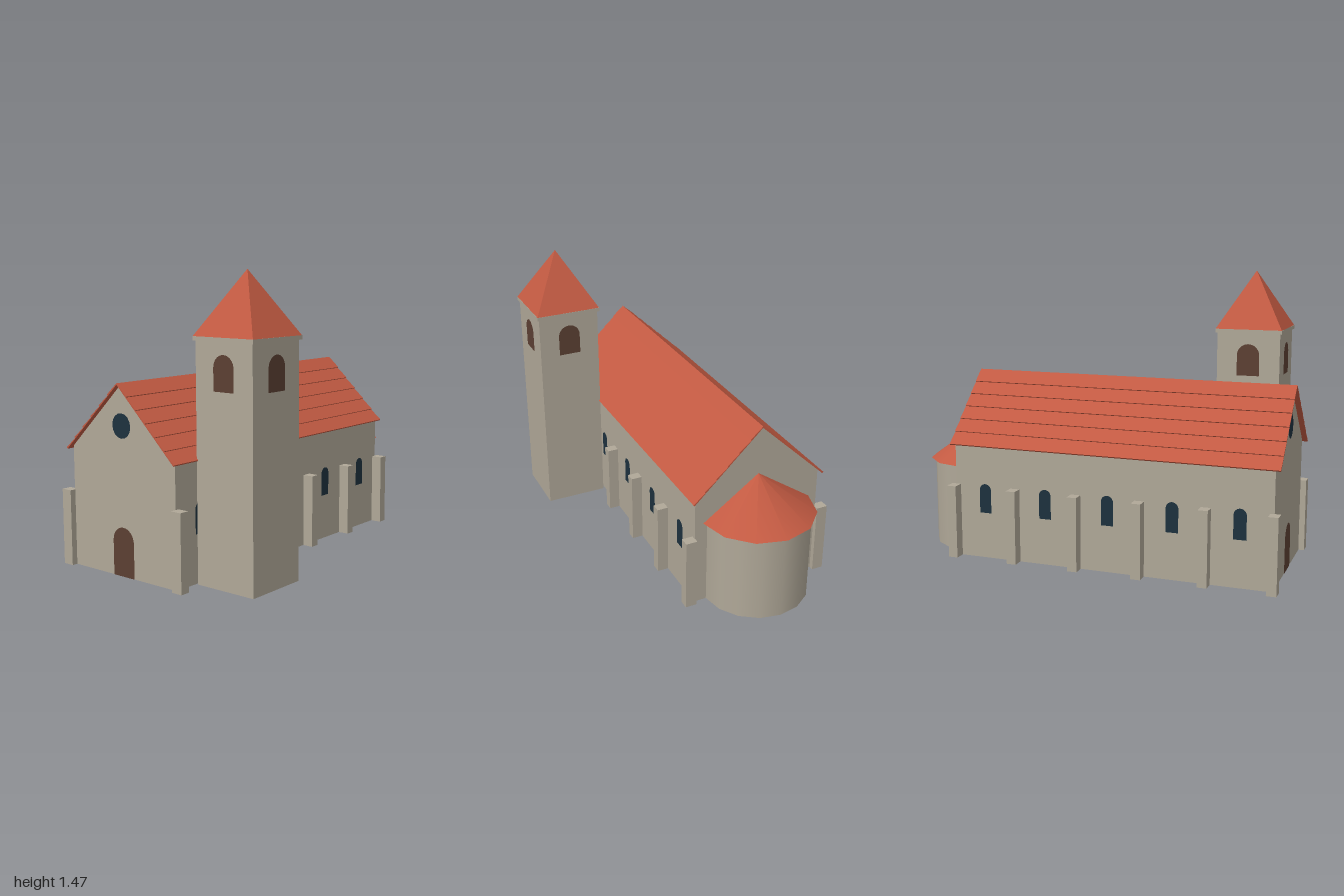
import * as THREE from 'three';

const stone = new THREE.MeshStandardMaterial({ color: 0xb0a898, side: THREE.DoubleSide });
stone.name = 'stone';
const tile = new THREE.MeshStandardMaterial({ color: 0xc25a42 });
tile.name = 'roofTile';
const wood = new THREE.MeshStandardMaterial({ color: 0x5c4033 });
wood.name = 'darkWood';
const glass = new THREE.MeshStandardMaterial({ color: 0x1d313e });
glass.name = 'darkGlass';

const NAVE_X = -0.15, NAVE_HALF = 0.345, FRONT = 0.97, BACK = -0.70;
const RIDGE = 0.933, SLOPE = 0.955;
const TOWER_X = 0.375, TOWER_Z = 0.67, TOWER_HALF = 0.168;
const PROUD = 0.002; // how far painted details stand off their wall

function add(parent, name, geometry, material, x = 0, y = 0, z = 0, turn = 0) {
  const mesh = new THREE.Mesh(geometry, material);
  mesh.name = name;
  mesh.position.set(x, y, z);
  mesh.rotation.y = turn;
  parent.add(mesh);
  return mesh;
}

// Hollow shell: drops the faces lying on the ground side
function openBase(geometry) {
  const g = geometry.index ? geometry.toNonIndexed() : geometry;
  g.clearGroups();
  g.computeBoundingBox();
  const p = g.attributes.position, floor = g.boundingBox.min.y + 1e-5;
  const keep = [];
  for (let i = 0; i < p.count; i += 3) {
    if (Math.max(p.getY(i), p.getY(i + 1), p.getY(i + 2)) > floor) keep.push(i, i + 1, i + 2);
  }
  g.setIndex(keep);
  return g;
}

function shell(parent, name, w, h, d, x, z) {
  return add(parent, name, openBase(new THREE.BoxGeometry(w, h, d)), stone, x, h / 2, z);
}

function extrude(shape, depth) {
  return new THREE.ExtrudeGeometry(shape, { depth, bevelEnabled: false });
}

// Flat round-headed opening standing on y = 0
function archFace(w, h) {
  const r = w / 2;
  const s = new THREE.Shape();
  s.moveTo(-r, 0);
  s.lineTo(r, 0);
  s.lineTo(r, h - r);
  s.absarc(0, h - r, r, 0, Math.PI, false);
  s.closePath();
  return new THREE.ShapeGeometry(s, 8);
}

// Gabled body, open underneath
function naveWalls() {
  const eave = RIDGE - SLOPE * NAVE_HALF;
  const s = new THREE.Shape([
    new THREE.Vector2(-NAVE_HALF, 0), new THREE.Vector2(NAVE_HALF, 0),
    new THREE.Vector2(NAVE_HALF, eave), new THREE.Vector2(0, RIDGE - 0.001),
    new THREE.Vector2(-NAVE_HALF, eave),
  ]);
  return openBase(extrude(s, FRONT - BACK));
}

// Finely stepped roof: six overlapping tile rows on each slope
function naveRoof() {
  const rows = 6, reach = 0.36;
  const len = Math.hypot(1, SLOPE), nx = SLOPE / len, ny = 1 / len;
  const at = (d, off) => new THREE.Vector2(d + nx * off, RIDGE - SLOPE * d + ny * off);
  const right = [at(reach, 0)];
  for (let i = 0; i < rows; i++) {
    right.push(at(reach * (1 - i / rows), 0.009));
    if (i < rows - 1) right.push(at(reach * (1 - (i + 1) / rows), 0.003));
  }
  const left = right.map((p) => new THREE.Vector2(-p.x, p.y)).reverse();
  const top = new THREE.Vector2(0, RIDGE + 0.007);
  return extrude(new THREE.Shape([...right, top, ...left, new THREE.Vector2(0, RIDGE)]), 1.72);
}

export function createModel() {
  const model = new THREE.Group();
  model.name = 'church';

  // Nave
  const nave = new THREE.Group();
  nave.name = 'nave';
  nave.position.x = NAVE_X;
  model.add(nave);
  add(nave, 'naveWalls', naveWalls(), stone, 0, 0, BACK);
  add(nave, 'naveRoof', naveRoof(), tile, 0, 0, -0.723);
  add(nave, 'door', archFace(0.14, 0.243), wood, 0, 0, FRONT + PROUD);
  add(nave, 'roundWindow', new THREE.CircleGeometry(0.061, 16), glass, 0, 0.735, FRONT + PROUD);

  // Buttresses and side windows, evenly spaced along both sides
  const bay = 0.335, first = 0.975;
  for (const side of [-1, 1]) {
    for (let i = 0; i < 6; i++) {
      const z = first - bay * i;
      if (!(side === 1 && i === 1)) { // the tower stands here
        shell(nave, 'buttress', 0.06, 0.382, 0.05, side * 0.373, z);
      }
      if (i < 5) {
        add(nave, 'sideWindow', archFace(0.064, 0.153), glass,
          side * (NAVE_HALF + PROUD), 0.24, z - bay / 2, side * Math.PI / 2);
      }
    }
  }

  // Apse: half drum under a half cone
  const apse = new THREE.Group();
  apse.name = 'apse';
  apse.position.set(NAVE_X, 0, BACK);
  model.add(apse);
  const drum = new THREE.CylinderGeometry(0.278, 0.278, 0.46, 8, 1, false, Math.PI / 2, Math.PI);
  add(apse, 'apseWall', openBase(drum), stone, 0, 0.23, 0);
  const cone = new THREE.ConeGeometry(0.3, 0.21, 6, 1, false, Math.PI / 2, Math.PI);
  add(apse, 'apseRoof', cone, tile, 0, 0.565, 0);

  // Bell tower
  const tower = new THREE.Group();
  tower.name = 'tower';
  tower.position.set(TOWER_X, 0, TOWER_Z);
  model.add(tower);
  shell(tower, 'towerWalls', TOWER_HALF * 2, 1.147, TOWER_HALF * 2, 0, 0);
  add(tower, 'cornice', new THREE.BoxGeometry(0.356, 0.02, 0.356), stone, 0, 1.157, 0);
  const spire = new THREE.ConeGeometry(0.177 * Math.SQRT2, 0.302, 4)
    .rotateY(Math.PI / 4).toNonIndexed();
  spire.computeVertexNormals();
  add(tower, 'towerRoof', spire, tile, 0, 1.318, 0);
  for (let i = 0; i < 4; i++) {
    const a = i * Math.PI / 2, r = TOWER_HALF + PROUD;
    add(tower, 'bellOpening', archFace(0.12, 0.168), wood,
      Math.sin(a) * r, 0.922, Math.cos(a) * r, a);
  }
  return model;
}
